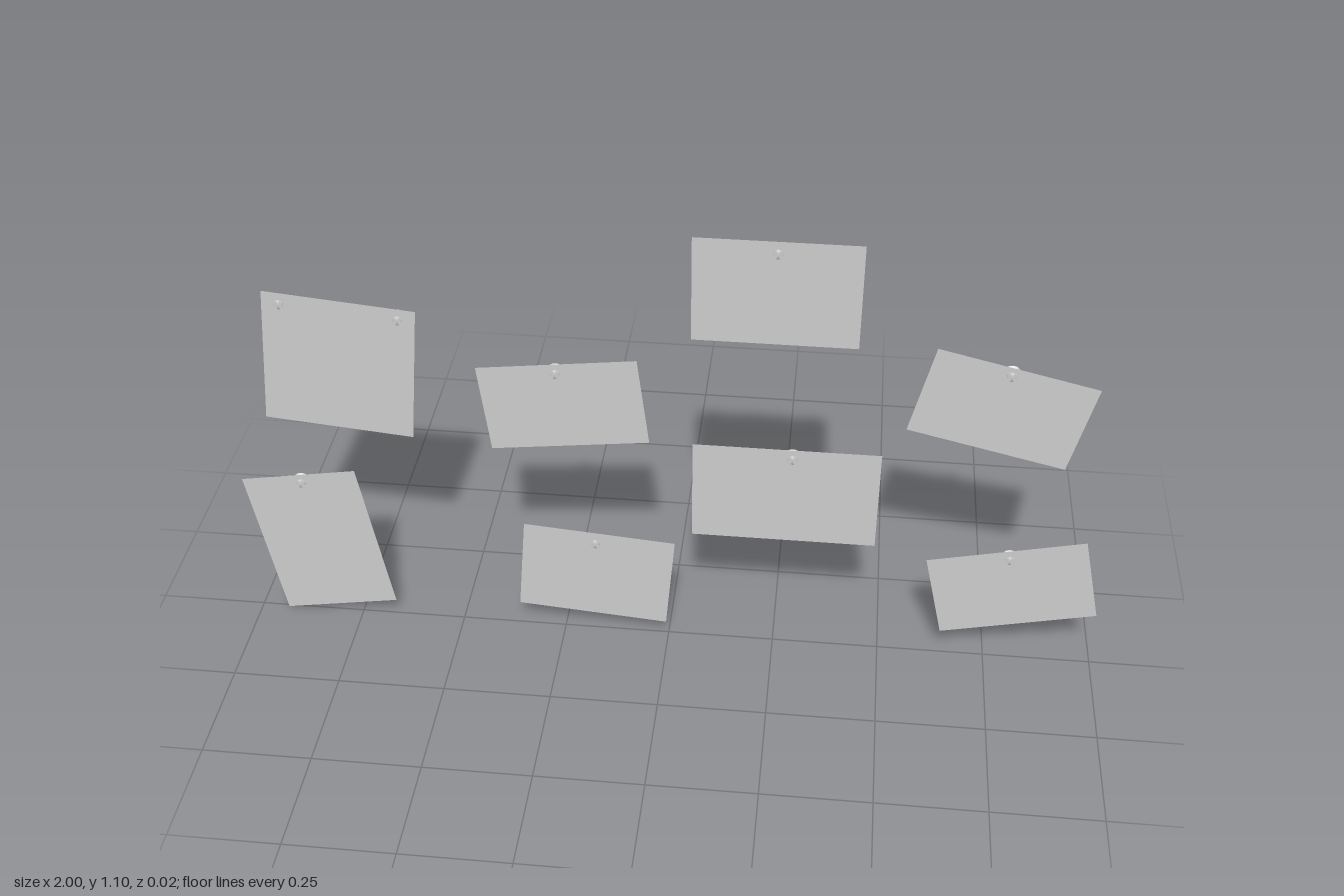
import * as THREE from 'three';
import { toCreasedNormals } from 'three/addons/utils/BufferGeometryUtils.js';

const SHEET_Z = 0.006;

// centre x, centre y, width, height, tilt in degrees, pin positions [x, y]
const NOTES = [
  [-0.733, 0.735, 0.338, 0.338, -5.4, [[-0.85, 0.887], [-0.59, 0.863]]],
  [-0.832, 0.225, 0.275, 0.394, 9.5, [[-0.86, 0.396]]],
  [-0.235, 0.664, 0.36, 0.219, 6.9, [[-0.25, 0.747]]],
  [-0.172, 0.182, 0.354, 0.245, -4.8, [[-0.172, 0.273]]],
  [0.227, 0.984, 0.358, 0.251, 0, [[0.227, 1.08]]],
  [0.264, 0.452, 0.42, 0.257, 0, [[0.277, 0.554]]],
  [0.722, 0.723, 0.361, 0.22, -13.2, [[0.732, 0.811]]],
  [0.796, 0.225, 0.363, 0.219, 12.8, [[0.782, 0.307]]],
];

// Pin turned about z: broad cap at the back, flaring in to a narrow stub at the front
function pinGeometry() {
  const profile = [
    [0, -0.009], [0.019, -0.0085], [0.02, -0.007], [0.012, -0.002],
    [0.011, 0], [0.011, 0.009], [0, 0.009],
  ].map(([r, z]) => new THREE.Vector2(r, z));
  const geometry = new THREE.LatheGeometry(profile, 24);
  geometry.rotateX(Math.PI / 2);
  return toCreasedNormals(geometry, 0.6);
}

export function createModel() {
  const model = new THREE.Group();
  model.name = 'pinnedNotes';
  const paper = new THREE.MeshStandardMaterial({ color: 0xcccccc, side: THREE.DoubleSide });
  const metal = new THREE.MeshStandardMaterial({ color: 0xcccccc });
  const pinShape = pinGeometry();

  NOTES.forEach(([x, y, width, height, tilt, pins], i) => {
    const note = new THREE.Group();
    note.name = `note${i + 1}`;

    // Thin tilted sheet
    const sheet = new THREE.Mesh(new THREE.PlaneGeometry(width, height), paper);
    sheet.name = 'sheet';
    sheet.position.set(x, y, SHEET_Z);
    sheet.rotation.z = THREE.MathUtils.degToRad(tilt);
    note.add(sheet);

    // Pins through the top edge
    for (const [px, py] of pins) {
      const pin = new THREE.Mesh(pinShape, metal);
      pin.name = 'pin';
      pin.position.set(px, py, 0);
      note.add(pin);
    }
    model.add(note);
  });
  return model;
}
